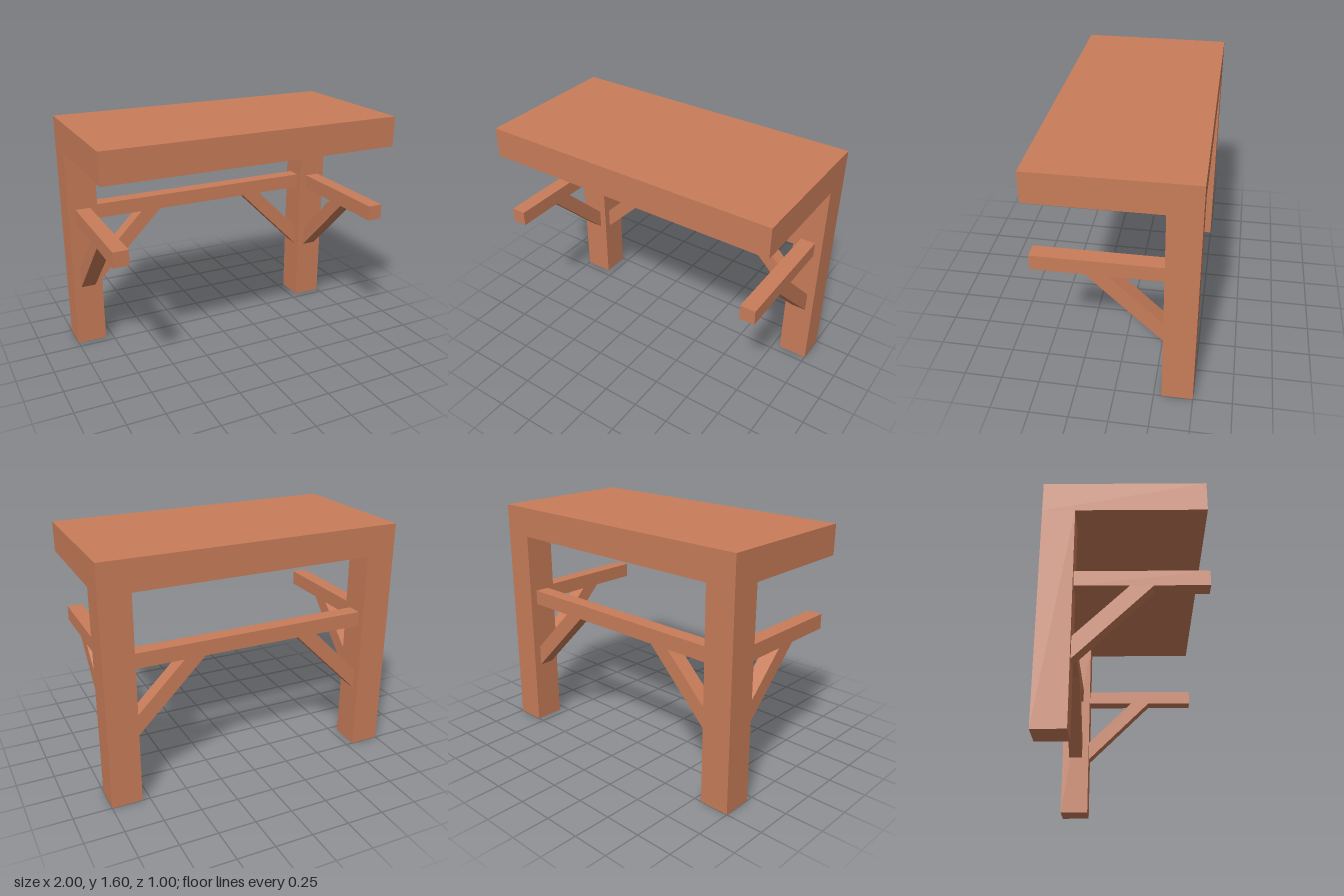
import * as THREE from 'three';

export function createModel() {
  const model = new THREE.Group();
  const wood = new THREE.MeshStandardMaterial({ color: 0xc87c59 });
  wood.name = 'warm wood';

  const add = (name, geometry, x, y, z, turn = 0) => {
    const mesh = new THREE.Mesh(geometry, wood);
    mesh.name = name;
    mesh.position.set(x, y, z);
    mesh.rotation.y = turn;
    model.add(mesh);
  };

  // Diagonal brace: x is the distance from the post, ends cut flush
  const outline = new THREE.Shape([[0, 0.43], [0.47, 0.9], [0.33, 0.9], [0, 0.57]]
    .map(([x, y]) => new THREE.Vector2(x, y)));
  const brace = new THREE.ExtrudeGeometry(outline, { depth: 0.1, bevelEnabled: false });
  brace.translate(0, 0, -0.05);

  // Thick top slab and the rail between the posts
  add('topSlab', new THREE.BoxGeometry(2, 0.2, 1), 0, 1.5, 0);
  add('backRail', new THREE.BoxGeometry(1.6, 0.1, 0.1), 0, 0.95, -0.4);

  // Rear posts, each with a forward arm and two braces
  const post = new THREE.BoxGeometry(0.2, 1.4, 0.2);
  const arm = new THREE.BoxGeometry(0.1, 0.1, 0.8);
  for (const [side, s] of [['left', 1], ['right', -1]]) {
    add(side + 'Post', post, s * 0.9, 0.7, -0.4);
    add(side + 'Arm', arm, s * 0.9, 0.95, 0.1);
    add(side + 'ArmBrace', brace, s * 0.9, 0, -0.3, -Math.PI / 2);
    add(side + 'RailBrace', brace, s * 0.8, 0, -0.4, s > 0 ? Math.PI : 0);
  }
  return model;
}
